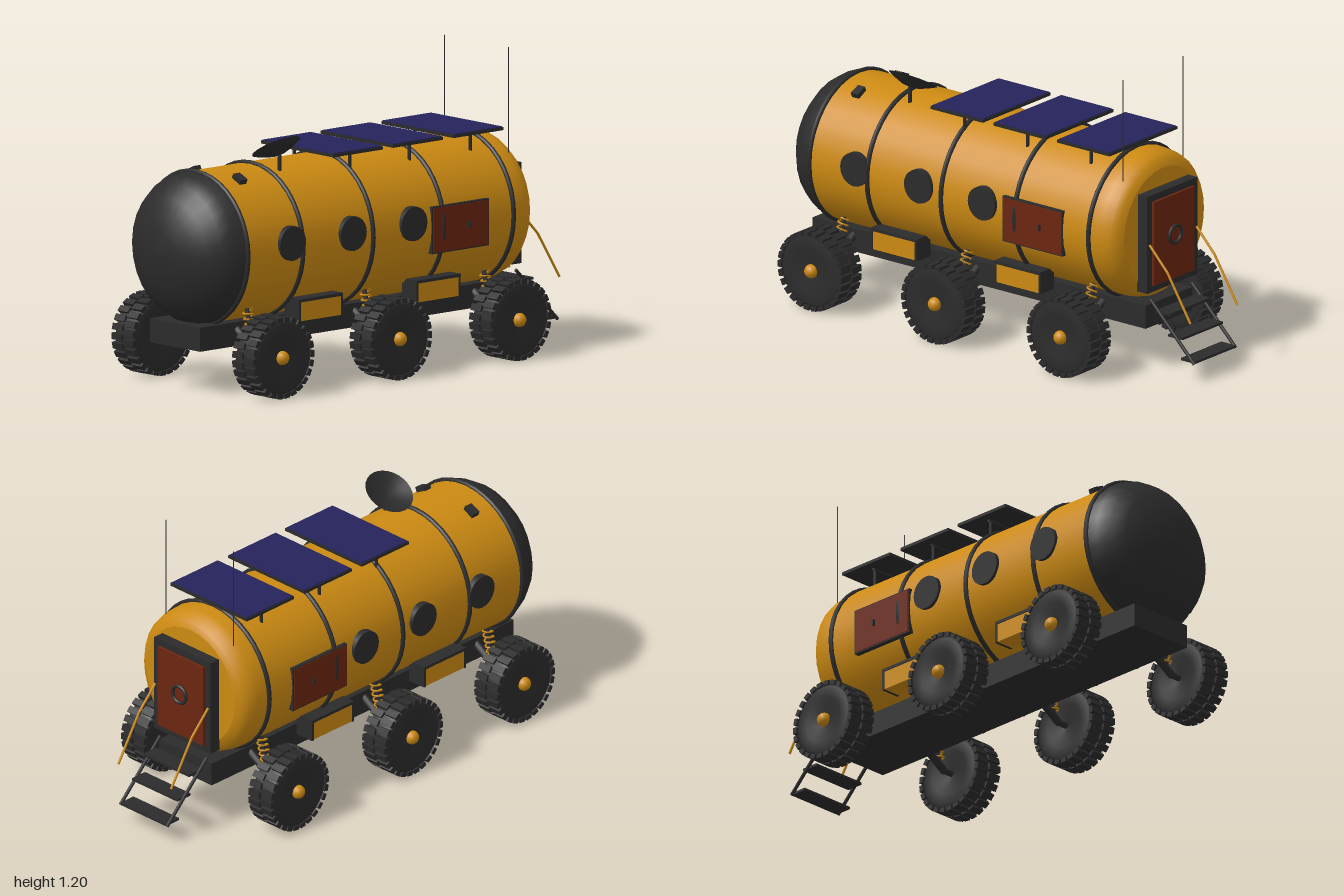
import * as THREE from 'three';

const mat = (name, color, side = THREE.FrontSide) => {
  const m = new THREE.MeshStandardMaterial({ color, side });
  m.name = name;
  return m;
};

export function createModel() {
  const root = new THREE.Group();
  root.name = 'rover';
  const orange = mat('orange paint', 0xcc8a12);
  const dark = mat('dark grey', 0x2b2b2b, THREE.DoubleSide);
  const red = mat('rust red', 0x6c2610);
  const blue = mat('solar blue', 0x25235a);
  const CY = 0.56, R = 0.3; // hull axis height and radius

  const add = (name, geo, m, x = 0, y = 0, z = 0, parent = root) => {
    const mesh = new THREE.Mesh(geo, m);
    mesh.name = name;
    mesh.position.set(x, y, z);
    parent.add(mesh);
    return mesh;
  };
  const box = (name, m, w, h, d, x, y, z, parent) =>
    add(name, new THREE.BoxGeometry(w, h, d), m, x, y, z, parent);
  // Round bar between two points
  const bar = (name, m, a, b, r, sides = 8, parent = root) => {
    const p = new THREE.Vector3(...a), q = new THREE.Vector3(...b);
    const mesh = add(name, new THREE.CylinderGeometry(r, r, p.distanceTo(q), sides), m, 0, 0, 0, parent);
    mesh.position.copy(p).lerp(q, 0.5);
    mesh.quaternion.setFromUnitVectors(new THREE.Vector3(0, 1, 0), q.sub(p).normalize());
    return mesh;
  };
  const lathe = (pts, n) => new THREE.LatheGeometry(pts.map(p => new THREE.Vector2(...p)), n);

  // Hull, rear bulkhead, nose and hoops
  add('hull', lathe([[0.24, -0.73], [0.268, -0.718], [0.288, -0.695], [0.297, -0.66], [R, -0.61], [R, 0.8]], 32)
    .rotateX(Math.PI / 2), orange, 0, CY, 0);
  add('rearBulkhead', new THREE.CircleGeometry(0.241, 32).rotateY(Math.PI), orange, 0, CY, -0.73);
  const nose = [];
  for (let i = 0; i <= 6; i++) {
    const a = i * Math.PI / 12;
    nose.push([0.302 * Math.cos(a) + 1e-5, 0.8 + 0.197 * Math.sin(a)]);
  }
  add('noseWindow', lathe(nose, 28).rotateX(Math.PI / 2), dark, 0, CY, 0);
  for (const z of [0.8, 0.51, 0.14, -0.23, -0.6])
    add('hullHoop', new THREE.TorusGeometry(0.302, 0.01, 8, 40), dark, 0, CY, z);

  // Chassis
  box('chassis', dark, 0.29, 0.095, 1.67, 0, 0.228, 0.075);

  // Wheel: tyre, staggered tread blocks and hub, facing +x
  const tyreGeo = lathe([[0.001, -0.045], [0.09, -0.058], [0.135, -0.058], [0.15, -0.05],
    [0.15, 0.05], [0.135, 0.058], [0.09, 0.058], [0.001, 0.045]], 32).rotateZ(-Math.PI / 2);
  const blockGeo = new THREE.BoxGeometry(0.058, 0.018, 0.026);
  const hubGeo = new THREE.SphereGeometry(0.028, 14, 10);
  const makeWheel = () => {
    const g = new THREE.Group();
    g.name = 'wheel';
    add('tyre', tyreGeo, dark, 0, 0, 0, g);
    const count = 26, blocks = new THREE.Group();
    blocks.name = 'tread';
    g.add(blocks);
    for (const row of [0, 1]) for (let i = 0; i < count; i++) {
      const a = (i + row * 0.5) / count * Math.PI * 2;
      const b = add('treadBlock', blockGeo, dark, row ? 0.033 : -0.033, 0.152 * Math.cos(a), 0.152 * Math.sin(a), blocks);
      b.rotation.x = a;
    }
    add('hub', hubGeo, orange, 0.052, 0, 0, g);
    return g;
  };

  // Coil spring path
  const coil = [];
  for (let i = 0; i <= 60; i++) {
    const a = i / 60 * Math.PI * 12;
    coil.push(new THREE.Vector3(0.02 * Math.cos(a), (i / 60 - 0.5) * 0.13, 0.02 * Math.sin(a)));
  }
  const coilGeo = new THREE.TubeGeometry(new THREE.CatmullRomCurve3(coil), 100, 0.004, 5);

  for (const s of [1, -1]) {
    for (const z of [0.71, 0.09, -0.54]) {
      const w = makeWheel();
      w.position.set(s * 0.349, 0.166, z);
      if (s < 0) w.rotation.y = Math.PI;
      root.add(w);
      // Suspension arm, axle and spring
      bar('suspensionArm', dark, [s * 0.13, 0.25, z], [s * 0.26, 0.168, z], 0.016, 12);
      add('armJoint', new THREE.SphereGeometry(0.016, 12, 8), dark, s * 0.26, 0.168, z);
      bar('axle', dark, [s * 0.25, 0.168, z], [s * 0.31, 0.166, z], 0.013, 10);
      bar('damper', dark, [s * 0.195, 0.335, z], [s * 0.235, 0.19, z], 0.009);
      const spring = add('spring', coilGeo, orange, s * 0.216, 0.27, z);
      spring.rotation.z = s * 0.27;
    }

    // Portholes
    for (const z of [0.57, 0.25, -0.07]) {
      const p = add('porthole', new THREE.CylinderGeometry(0.068, 0.068, 0.04, 24), dark, s * 0.291, 0.59, z);
      p.rotation.z = Math.PI / 2;
    }

    // Side hatch with frame and handle
    box('hatchFrame', dark, 0.04, 0.186, 0.3, s * 0.283, 0.55, -0.32);
    box('hatch', red, 0.04, 0.176, 0.29, s * 0.286, 0.55, -0.32);
    box('hatchHandle', dark, 0.012, 0.025, 0.008, s * 0.309, 0.555, -0.36);

    // Storage boxes in open frames
    for (const z of [0.395, -0.225]) {
      box('storageBox', orange, 0.08, 0.075, 0.212, s * 0.238, 0.307, z);
      box('storageLid', dark, 0.086, 0.012, 0.232, s * 0.238, 0.351, z);
      for (const e of [1, -1]) box('storageEnd', dark, 0.084, 0.085, 0.01, s * 0.238, 0.31, z + e * 0.111);
    }

    // Roof lamps and whip antennas
    const lamp = box('roofLamp', dark, 0.05, 0.034, 0.035, s * 0.13, 0.832, 0.69);
    lamp.rotation.z = -s * 0.42;
    bar('antenna', dark, [s * 0.185, 0.78, -0.68], [s * 0.185, 1.2, -0.68], 0.002, 6);

    // Ladder rails and handrails
    bar('ladderRail', dark, [s * 0.128, 0.3, -0.77], [s * 0.128, 0.08, -0.99], 0.007);
    bar('handrailUpper', orange, [s * 0.145, 0.53, -0.78], [s * 0.145, 0.435, -0.87], 0.005);
    bar('handrailLower', orange, [s * 0.145, 0.435, -0.87], [s * 0.145, 0.25, -0.985], 0.005);
  }

  // Ladder treads
  for (const [y, z] of [[0.255, -0.83], [0.17, -0.893], [0.086, -0.957]])
    box('ladderTread', dark, 0.25, 0.01, 0.072, 0, y, z);

  // Rear door
  box('doorFrame', dark, 0.31, 0.4, 0.05, 0, 0.53, -0.751);
  box('door', red, 0.25, 0.345, 0.014, 0, 0.53, -0.78);
  add('doorWheel', new THREE.TorusGeometry(0.036, 0.007, 8, 24), dark, 0, 0.54, -0.793);

  // Solar panels on posts
  for (const z of [-0.5, -0.18, 0.135]) {
    box('panelFrame', dark, 0.42, 0.012, 0.262, 0, 0.887, z);
    box('solarCells', blue, 0.412, 0.004, 0.254, 0, 0.894, z);
    for (const x of [-0.16, 0.16]) bar('panelPost', dark, [x, 0.79, z], [x, 0.885, z], 0.007);
    box('panelRail', dark, 0.34, 0.01, 0.012, 0, 0.877, z);
  }

  // Tilted dish on a mast
  bar('dishMast', dark, [0.105, 0.82, 0.455], [0.105, 0.9, 0.455], 0.008);
  const dish = add('dish', lathe([[0.001, -0.035], [0.035, -0.029], [0.07, -0.015], [0.1, 0]], 28), dark, 0.086, 0.93, 0.455);
  dish.rotation.z = 0.54;

  return root;
}
